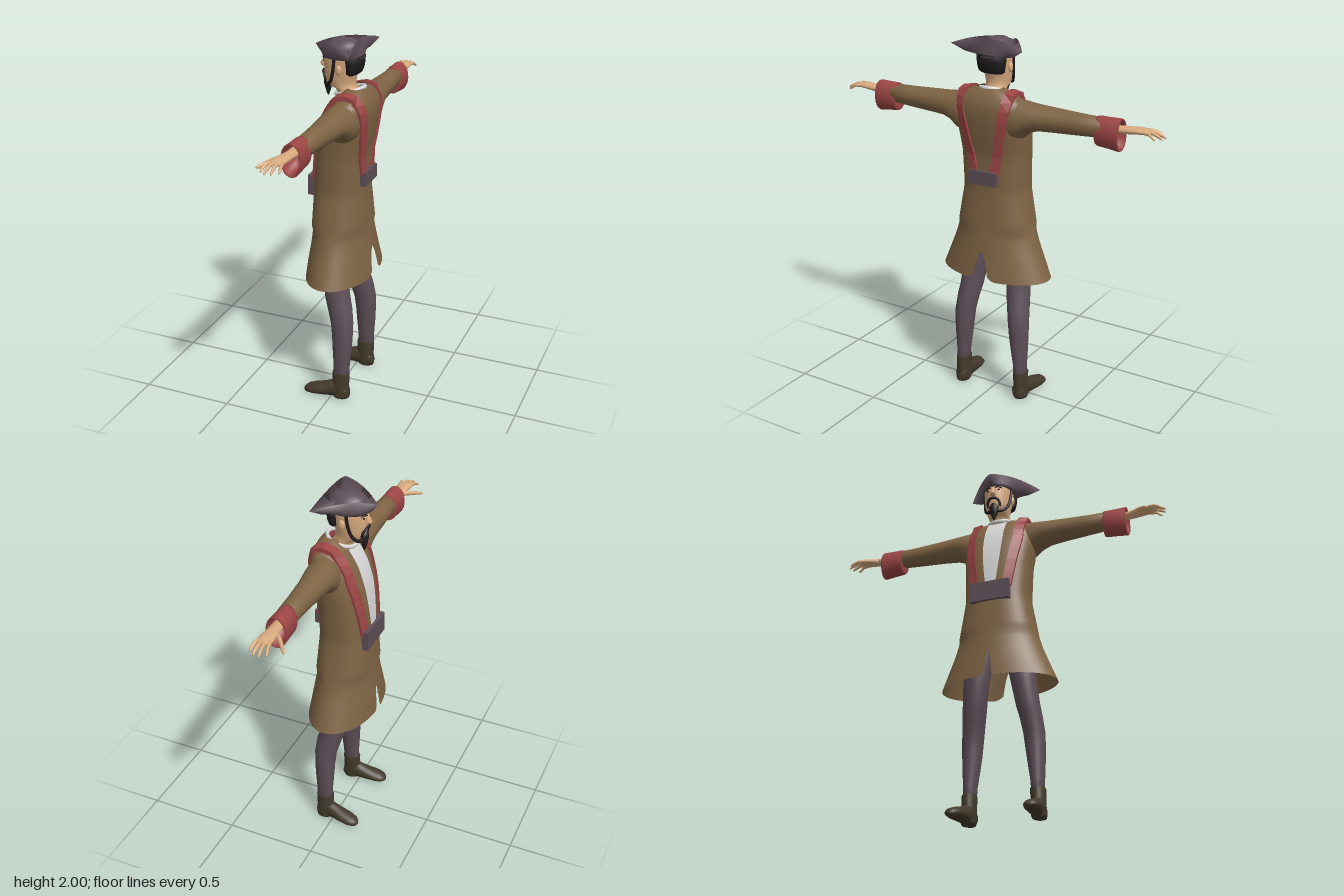
import * as THREE from 'three';
import { mergeGeometries, mergeVertices } from 'three/addons/utils/BufferGeometryUtils.js';

const V = (x, y, z) => new THREE.Vector3(x, y, z);
const spow = (v, e) => Math.sign(v) * Math.abs(v) ** e;

// Skin a list of rings (arrays of points) into one smooth surface
function loft(rings, { closed = true, caps = true } = {}) {
  const n = rings[0].length, pos = [], idx = [];
  rings.forEach(r => r.forEach(p => pos.push(p.x, p.y, p.z)));
  for (let j = 0; j < rings.length - 1; j++) {
    for (let i = 0; i < (closed ? n : n - 1); i++) {
      const a = j * n + i, b = j * n + (i + 1) % n;
      idx.push(a, a + n, b, b, a + n, b + n);
    }
  }
  if (closed && caps) {
    [[rings[0], 0, true], [rings.at(-1), (rings.length - 1) * n, false]].forEach(([r, o, first]) => {
      const c = r.reduce((s, p) => s.add(p), V(0, 0, 0)).divideScalar(n), k = pos.length / 3;
      pos.push(c.x, c.y, c.z);
      for (let i = 0; i < n; i++) {
        const a = o + i, b = o + (i + 1) % n;
        if (first) idx.push(k, a, b); else idx.push(k, b, a);
      }
    });
  }
  const g = new THREE.BufferGeometry();
  g.setAttribute('position', new THREE.Float32BufferAttribute(pos, 3));
  g.setIndex(idx);
  g.computeVertexNormals();
  return g;
}

const around = (n, f) => Array.from({ length: n }, (_, i) => f(Math.cos(i / n * 2 * Math.PI), Math.sin(i / n * 2 * Math.PI)));
// Rings across each axis
const ringY = (y, cx, hw, zf, zb, n = 28) => around(n, (c, s) => V(cx + c * hw, y, (zf + zb) / 2 + s * (zf - zb) / 2));
const ringX = (x, yc, hy, zc, hz, n = 20) => around(n, (c, s) => V(x, yc + c * hy, zc - s * hz));
const ringZ = (z, xc, hx, y0, y1, n = 20) => around(n, (c, s) => V(xc + c * hx, (y0 + y1) / 2 - s * (y1 - y0) / 2, z));

// Coat body: height, half width, front z, back z
const COAT = [[.715, .32, .185, -.18], [.8, .285, .178, -.168], [.9, .245, .165, -.153], [1, .215, .156, -.14],
  [1.2, .18, .148, -.125], [1.4, .188, .135, -.128], [1.5, .198, .118, -.147], [1.6, .204, .088, -.16],
  [1.66, .2, .055, -.16], [1.7, .178, .028, -.148], [1.73, .125, 0, -.13], [1.75, .07, -.03, -.11]];
function coatAt(y) {
  let i = 0;
  while (i < COAT.length - 2 && COAT[i + 1][0] < y) i++;
  const a = COAT[i], b = COAT[i + 1], t = (y - a[0]) / (b[0] - a[0]);
  return [1, 2, 3].map(k => a[k] + (b[k] - a[k]) * t);
}
const EXP = 2.5;
function coatZ(x, y, side) {
  const [hw, zf, zb] = coatAt(y), u = Math.min(Math.abs(x) / hw, .98);
  return (zf + zb) / 2 + side * (zf - zb) / 2 * (1 - u ** EXP) ** (1 / EXP);
}

// Each half runs from the back slit to the front slit
function coatGeometry() {
  const ys = [.715, .722, .735, .75, .77, .79, .81, .83, .85, .87];
  for (let y = .91; y < 1.74; y += .03) ys.push(y);
  ys.push(1.74, 1.75);
  const halves = [1, -1].map(s => loft(ys.map(y => {
    const [hw, zf, zb] = coatAt(y), open = Math.max(0, (.865 - y) / .15);
    const gap = .06 * Math.sqrt(open) + .05 * Math.max(0, (.74 - y) / .025) ** 2;
    const back = gap / hw * .8, front = gap / hw * .35;
    const pts = Array.from({ length: 29 }, (_, i) => {
      const t = back + (Math.PI - back - front) * i / 28, e = 2 / (y < 1 ? 2 : EXP);
      const x = i === 0 && !gap || i === 28 && !gap ? 0 : s * hw * spow(Math.sin(t), e);
      return V(x, y, (zf + zb) / 2 - (zf - zb) / 2 * spow(Math.cos(t), e));
    });
    return s > 0 ? pts : pts.reverse();
  }), { closed: false }));
  const g = mergeGeometries(halves);
  g.deleteAttribute('normal');
  const m = mergeVertices(g, 1e-4);
  m.computeVertexNormals();
  return m;
}

// Strap from the front belt plate over the shoulder to the back plate
function strapGeometry() {
  const w = .024, path = [];
  const add = (x, y, side) => path.push([V(x - w, y, coatZ(x - w, y, side)), V(x + w, y, coatZ(x + w, y, side))]);
  for (const y of [1.24, 1.32, 1.4, 1.48, 1.55, 1.61, 1.65, 1.69]) add(.09 + .047 * Math.min(1, (y - 1.24) / .3), y, 1);
  for (const [y, z] of [[1.722, -.015], [1.732, -.06], [1.722, -.105]]) path.push([V(.138 - w, y + .004, z), V(.138 + w, y - .004, z)]);
  for (const y of [1.69, 1.65, 1.6, 1.54, 1.47, 1.4, 1.28]) add(.055 + .083 * (y - 1.28) / .41, y, -1);
  return loft(path.map(([l, r], i) => {
    const t = path[Math.min(i + 1, path.length - 1)][0].clone().sub(path[Math.max(i - 1, 0)][0]);
    const n = V(0, -t.z, t.y).normalize();
    const off = (p, d) => p.clone().addScaledVector(n, d);
    return [off(r, .013), off(r, -.01), off(l, -.01), off(l, .013)].reverse();
  })).toNonIndexed();
}

// Three-cornered hat: upturned brim and domed crown
function hatGeometry() {
  const corners = [V(.21, 1.957, -.105), V(0, 1.95, .162), V(-.21, 1.957, -.105)];
  const mids = [V(.1, 1.978, .04), V(-.1, 1.978, .04), V(0, 2, -.085)];
  const brim = [];
  corners.forEach((a, k) => {
    const b = corners[(k + 1) % 3];
    const ctrl = mids[k].clone().multiplyScalar(2).addScaledVector(a, -.5).addScaledVector(b, -.5);
    brim.push(...new THREE.QuadraticBezierCurve3(a, ctrl, b).getPoints(14).slice(0, 14));
  });
  const oval = (k, y) => brim.map(p => {
    const t = Math.atan2(p.z, p.x);
    return V(Math.cos(t) * .092 * k, y, .005 + Math.sin(t) * .112 * k);
  });
  const base = oval(1, 1.9);
  return loft([base, base.map((p, i) => p.clone().lerp(brim[i], .5).setY(1.918)), brim,
    oval(.86, 1.945), oval(.78, 1.97), oval(.5, 1.988), oval(.15, 1.993)]);
}

export function createModel() {
  const mat = (name, color, side = THREE.FrontSide) => Object.assign(new THREE.MeshStandardMaterial({ color, side }), { name });
  const coat = mat('brown coat', 0x7f6444, THREE.DoubleSide), red = mat('red trim', 0x9c4645, THREE.DoubleSide);
  const plum = mat('plum cloth', 0x5e4f58), skin = mat('skin', 0xd9ab7f), hair = mat('black hair', 0x1e1b1d);
  const boot = mat('boot leather', 0x433a2b), shirt = mat('white shirt', 0xd6d6d6, THREE.DoubleSide);
  const man = new THREE.Group();
  man.name = 'man';
  const add = (name, geo, material) => {
    const m = new THREE.Mesh(geo, material);
    m.name = name;
    man.add(m);
  };
  // Adds a left part and its mirrored right twin
  const pair = (name, geo, material) => {
    const g = (geo.index ? geo.toNonIndexed() : geo).clone();
    for (const key of ['position', 'normal']) {
      const a = g.attributes[key], src = a.clone();
      for (let i = 0; i < a.count; i++) {
        const j = i % 3 === 1 ? i + 1 : i % 3 === 2 ? i - 1 : i;
        a.setXYZ(i, -src.getX(j), src.getY(j), src.getZ(j));
      }
    }
    add(name + 'Left', geo, material);
    add(name + 'Right', g, material);
  };
  const ball = (x, y, z, a, b, c) => new THREE.SphereGeometry(1, 20, 14).scale(a, b, c).translate(x, y, z);
  const tube = (pts, r) => new THREE.TubeGeometry(new THREE.CatmullRomCurve3(pts), 14, r, 8);

  // Coat, sleeves and cuffs
  add('coatBody', coatGeometry(), coat);
  pair('sleeve', loft([[.1, 1.59, .1, -.05, .085], [.15, 1.595, .108, -.05, .09], [.19, 1.6, .098, -.045, .09],
    [.23, 1.614, .078, -.043, .085], [.28, 1.62, .067, -.041, .077], [.36, 1.62, .063, -.038, .066],
    [.5, 1.62, .056, -.036, .056], [.63, 1.622, .05, -.034, .05]].map(r => ringX(...r))), coat);
  pair('cuff', loft([[.605, 1.606, .045, -.032, .035], [.6, 1.604, .074, -.032, .05], [.61, 1.603, .077, -.032, .053],
    [.66, 1.601, .079, -.032, .055], [.722, 1.598, .084, -.032, .055], [.73, 1.598, .08, -.032, .051],
    [.72, 1.6, .072, -.032, .044], [.64, 1.605, .06, -.032, .04]].map(r => ringX(...r, 28))), red);

  // Hands
  pair('palm', loft([[.64, 1.625, .022, -.03, .03], [.72, 1.627, .019, -.03, .029], [.77, 1.63, .019, -.026, .033],
    [.82, 1.635, .017, -.024, .039], [.86, 1.635, .013, -.022, .039], [.872, 1.634, .007, -.022, .034]].map(r => ringX(...r))), skin);
  [[.006, .022, .925], [-.014, -.006, .946], [-.034, -.036, .94], [-.053, -.064, .915]].forEach(([z0, z1, x], i) => {
    pair('finger' + (i + 1), loft([[.85, 1.636, .01, z0, .01], [(.85 + x) / 2, 1.634, .009, (z0 + z1) / 2, .009],
      [x - .012, 1.62, .008, z1, .007], [x, 1.612, .004, z1, .004]].map(r => ringX(...r, 10))), skin);
  });
  pair('thumb', loft([[.755, 1.624, .014, -.01, .014], [.795, 1.618, .013, .024, .015], [.825, 1.61, .011, .05, .012],
    [.848, 1.602, .009, .068, .009], [.858, 1.598, .004, .075, .005]].map(r => ringX(...r, 12))), skin);

  // Shirt front and collar
  const panel = [1.27, 1.35, 1.43, 1.5, 1.56, 1.61, 1.65, 1.68, 1.7].map(y => {
    const w = .03 + .025 * Math.sin(Math.min(1, (y - 1.27) / .3) * Math.PI / 2);
    return [1, .5, 0, -.5, -1].map(u => V(u * w, y, coatZ(u * w, y, 1) + .006)).reverse();
  });
  add('shirtFront', loft(panel.map(r => r.reverse()), { closed: false }), shirt);
  add('shirtCollar', new THREE.TorusGeometry(1, .13, 10, 36).rotateX(Math.PI / 2).scale(.068, .09, .078)
    .rotateX(.3).translate(0, 1.727, -.03), shirt);

  // Straps and belt plates
  const strap = strapGeometry();
  strap.computeVertexNormals();
  pair('strap', strap, red);
  add('frontBeltPlate', new THREE.BoxGeometry(.22, .11, .065).translate(0, 1.215, .133), plum);
  add('backBeltPlate', new THREE.BoxGeometry(.165, .075, .035).translate(0, 1.277, -.13), plum);

  // Legs and boots
  pair('leg', loft([[.12, .185, .032, -.012, -.1], [.2, .184, .036, -.01, -.102], [.3, .179, .046, -.004, -.11],
    [.38, .175, .053, 0, -.114], [.46, .17, .057, .008, -.115], [.54, .16, .06, .03, -.105], [.6, .15, .063, .048, -.09],
    [.73, .134, .068, .07, -.065], [.95, .105, .08, .085, -.07]].map(r => ringY(...r))), plum);
  pair('bootShaft', loft([[.005, .19, .036, -.01, -.1], [.02, .19, .041, -.002, -.102], [.08, .188, .038, -.004, -.1],
    [.155, .186, .04, -.003, -.103], [.162, .186, .036, -.008, -.098]].map(r => ringY(...r))), boot);
  pair('bootFoot', loft([[-.1, .186, .02, .005, .06], [-.085, .187, .036, 0, .09], [-.03, .189, .038, 0, .11],
    [.005, .192, .038, 0, .095], [.05, .198, .043, 0, .077], [.1, .204, .044, 0, .063], [.135, .207, .036, .002, .05],
    [.152, .209, .02, .008, .036], [.157, .209, .008, .014, .026]].map(r => ringZ(...r))), boot);

  // Head and face
  add('headAndNeck', loft([[1.66, .068, .04, -.1], [1.715, .062, .036, -.08], [1.74, .06, .05, -.066], [1.75, .06, .085, -.06],
    [1.77, .064, .1, -.058], [1.8, .07, .107, -.062], [1.84, .075, .11, -.08], [1.88, .079, .112, -.088],
    [1.92, .08, .108, -.09], [1.95, .06, .08, -.07]].map(([y, ...r]) => ringY(y, 0, ...r, 36))), skin);
  add('nose', loft([[1.835, .012, .112, .09], [1.843, .017, .13, .09], [1.853, .014, .136, .09], [1.875, .009, .122, .09],
    [1.895, .007, .112, .09]].map(([y, ...r]) => ringY(y, 0, ...r, 14))), skin);
  pair('ear', ball(.08, 1.845, .004, .01, .026, .017), skin);
  pair('eye', ball(.03, 1.877, .103, .011, .005, .004), hair);
  pair('eyebrow', tube([V(.012, 1.89, .111), V(.03, 1.894, .107), V(.048, 1.889, .093)], .004), hair);

  // Hair and beard
  add('backHair', loft([[1.815, .06, -.03, -.07], [1.825, .074, -.015, -.086], [1.85, .08, -.012, -.096],
    [1.88, .084, -.008, -.1], [1.915, .084, 0, -.1]].map(([y, ...r]) => ringY(y, 0, ...r))), hair);
  pair('sideburn', tube([V(.08, 1.9, .028), V(.075, 1.84, .036), V(.065, 1.785, .052), V(.045, 1.753, .078), V(.01, 1.745, .098)], .009), hair);
  pair('moustache', tube([V(0, 1.822, .113), V(.018, 1.818, .112), V(.034, 1.8, .1), V(.033, 1.77, .092)], .007), hair);
  add('goatee', loft([[1.686, .003, .096, .09], [1.7, .009, .102, .085], [1.725, .019, .108, .078], [1.75, .028, .114, .07],
    [1.772, .026, .114, .07], [1.79, .012, .111, .08]].map(([y, ...r]) => ringY(y, 0, ...r, 18))), hair);

  // Hat
  add('hat', hatGeometry(), plum);

  // The figure looks along -x
  man.rotation.y = -Math.PI / 2;
  const root = new THREE.Group();
  root.name = 'coatedMan';
  root.add(man);
  return root;
}
